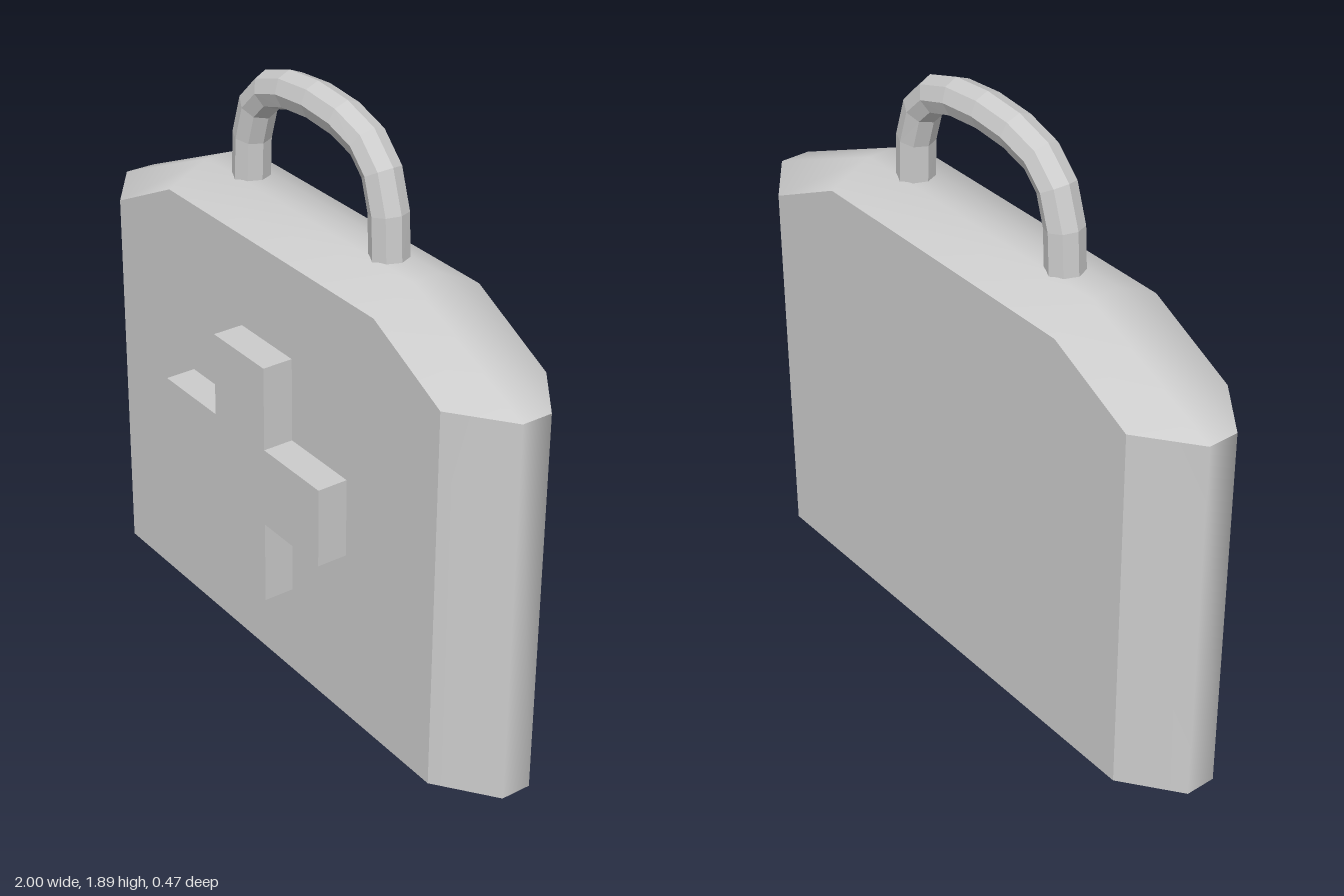
import * as THREE from 'three';

const material = new THREE.MeshStandardMaterial({ color: 0xcccccc });
const flatMaterial = new THREE.MeshStandardMaterial({ color: 0xcccccc, flatShading: true });

const toShape = (pts) => new THREE.Shape(pts.map(([x, y]) => new THREE.Vector2(x, y)));

function add(parent, name, geometry, mat = material) {
  const mesh = new THREE.Mesh(geometry, mat);
  mesh.name = name;
  parent.add(mesh);
  return mesh;
}

// Outlines of the case, counter-clockwise from the bottom of the +x side
const outer = [[1, 0], [1, 1.26], [0.515, 1.48], [-0.515, 1.48], [-1, 1.26], [-1, 0]];
const inner = [[0.82, 0], [0.82, 1.26], [0.52, 1.41], [-0.52, 1.41], [-0.82, 1.26], [-0.82, 0]];
// Cross-sections from front to back
const sections = [[inner, 0.135], [outer, 0], [outer, -0.1], [inner, -0.235]];

// Smooth bevelled band over outline points first..last
function band(first, last) {
  const positions = [], index = [];
  const n = last - first + 1;
  for (const [outline, z] of sections)
    for (let i = first; i <= last; i++) positions.push(...outline[i], z);
  for (let s = 0; s < sections.length - 1; s++)
    for (let i = 0; i < n - 1; i++) {
      const a = s * n + i, b = a + 1, c = a + n, d = c + 1;
      index.push(a, c, b, b, c, d);
    }
  const g = new THREE.BufferGeometry();
  g.setAttribute('position', new THREE.Float32BufferAttribute(positions, 3));
  g.setIndex(index);
  g.computeVertexNormals();
  return g;
}

// Path made of straight segments, one tube ring per corner
class Polyline extends THREE.Curve {
  constructor(points) {
    super();
    this.points = points;
  }
  getPoint(t, target = new THREE.Vector3()) {
    const n = this.points.length - 1;
    const i = Math.min(Math.floor(t * n + 1e-9), n - 1);
    return target.lerpVectors(this.points[i], this.points[i + 1], t * n - i);
  }
  getPointAt(t, target) { return this.getPoint(t, target); }
  getTangentAt(t, target) { return this.getTangent(t, target); }
}

export function createModel() {
  const model = new THREE.Group();
  model.name = 'firstAidCase';

  // Case: flat panels joined by bevelled bands
  const body = new THREE.Group();
  body.name = 'case';
  model.add(body);
  add(body, 'leftSide', band(0, 1));
  add(body, 'top', band(1, 4));
  add(body, 'rightSide', band(4, 5));
  add(body, 'frontPanel', new THREE.ShapeGeometry(toShape(inner)).translate(0, 0, 0.135));
  add(body, 'backPanel', new THREE.ShapeGeometry(toShape(inner)).rotateY(Math.PI).translate(0, 0, -0.235));
  const base = [
    ...sections.map(([o, z]) => [o[0][0], z]),
    ...sections.map(([o, z]) => [o[5][0], z]).reverse(),
  ];
  add(body, 'base', new THREE.ShapeGeometry(toShape(base)).rotateX(Math.PI / 2));

  // Raised cross on the front panel
  const w = 0.13, r = 0.405;
  const cross = toShape([
    [w, -r], [w, -w], [r, -w], [r, w], [w, w], [w, r],
    [-w, r], [-w, w], [-r, w], [-r, -w], [-w, -w], [-w, -r],
  ]);
  add(model, 'cross', new THREE.ExtrudeGeometry(cross, { depth: 0.1, bevelEnabled: false }))
    .position.set(0, 0.705, 0.135);

  // Arched carrying handle
  const half = [[0.345, 1.47], [0.338, 1.61], [0.303, 1.72], [0.235, 1.787], [0.13, 1.82]];
  const path = [...half, [0, 1.831], ...half.map(([x, y]) => [-x, y]).reverse()]
    .map(([x, y]) => new THREE.Vector3(x, y, -0.05));
  add(model, 'handle', new THREE.TubeGeometry(new Polyline(path), path.length - 1, 0.06, 8), flatMaterial);

  return model;
}
